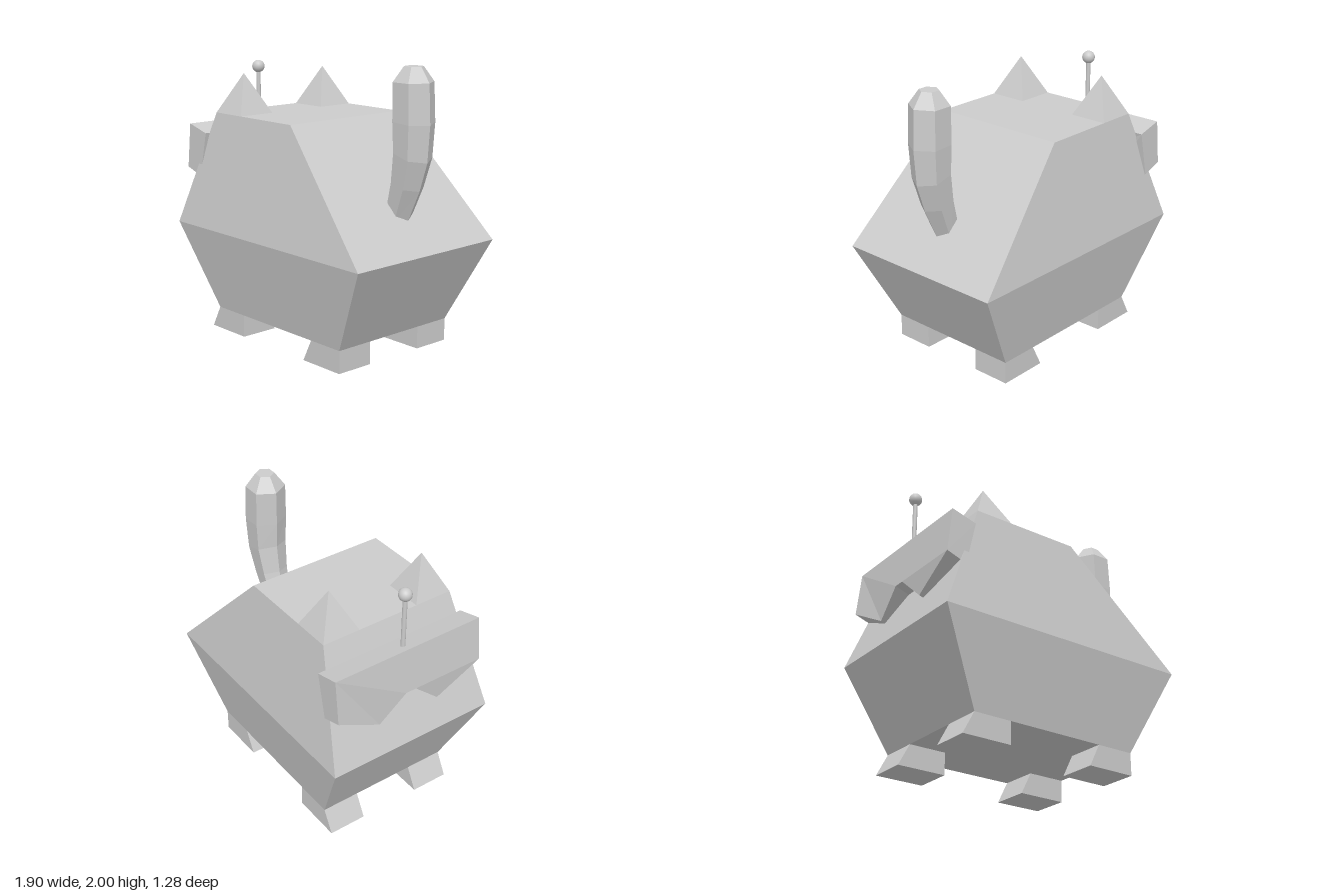
import * as THREE from 'three';

const material = new THREE.MeshStandardMaterial({ color: 0xcccccc, flatShading: true });
const smooth = new THREE.MeshStandardMaterial({ color: 0xcccccc });

function add(group, name, geometry, mat = material) {
  const mesh = new THREE.Mesh(geometry, mat);
  mesh.name = name;
  group.add(mesh);
  return mesh;
}

// Moves every vertex of a geometry by a rule.
function reshape(geometry, rule) {
  const pos = geometry.attributes.position;
  const v = new THREE.Vector3();
  for (let i = 0; i < pos.count; i++) {
    rule(v.fromBufferAttribute(pos, i));
    pos.setXYZ(i, v.x, v.y, v.z);
  }
  geometry.computeVertexNormals();
  return geometry;
}

// Six-sided block between two rectangles: { y, x: [min, max], z: [min, max] }.
function block(bottom, top) {
  return reshape(new THREE.BoxGeometry(1, 1, 1), (v) => {
    const r = v.y > 0 ? top : bottom;
    v.set(r.x[v.x > 0 ? 1 : 0], r.y, r.z[v.z > 0 ? 1 : 0]);
  });
}

export function createModel() {
  const model = new THREE.Group();
  model.name = 'facetedCat';

  // Body: two tapered blocks meeting at the widest line
  const base = { y: 0.16, x: [-0.65, 0.64], z: [-0.51, 0.51] };
  const waist = { y: 0.775, x: [-0.955, 0.95], z: [-0.64, 0.64] };
  const crown = { y: 1.6, x: [-0.645, 0.16], z: [-0.51, 0.51] };
  add(model, 'lowerBody', block(base, waist));
  add(model, 'upperBody', block(waist, crown));

  // Legs with forward-pointing toes, and pyramid ears
  for (const side of [-1, 1]) {
    const z = side > 0 ? [0.23, 0.51] : [-0.51, -0.23];
    add(model, 'frontLeg', block({ y: 0, x: [-0.735, -0.37], z }, { y: 0.16, x: [-0.65, -0.37], z }));
    add(model, 'backLeg', block({ y: 0, x: [0.28, 0.64], z }, { y: 0.16, x: [0.36, 0.64], z }));

    const earGeometry = new THREE.ConeGeometry(0.14 * Math.SQRT2, 0.28, 4);
    earGeometry.rotateY(Math.PI / 4);
    add(model, 'ear', earGeometry).position.set(-0.505, 1.74, side * 0.37);
  }

  // Tail: hexagonal rings along a bend, each [x, y, radius, tilt]
  const rings = [
    [0.787, 2.0, 0.067, 0],
    [0.787, 1.9, 0.14, 0],
    [0.795, 1.64, 0.145, -0.06],
    [0.79, 1.42, 0.135, -0.28],
    [0.745, 1.22, 0.115, -0.3],
    [0.66, 0.98, 0.09, -0.4],
  ];
  const steps = rings.length - 1;
  const tail = new THREE.CylinderGeometry(1, 1, 1, 6, steps, false, Math.PI / 6);
  add(model, 'tail', reshape(tail, (v) => {
    const [x, y, r, tilt] = rings[Math.round((0.5 - v.y) * steps)];
    v.set(x + v.x * r * Math.cos(tilt), y + v.x * r * Math.sin(tilt), v.z * r);
  }));

  // Goggles: an outline with a nose notch, leaning with the face
  const outline = [
    [-0.58, 1.5], [-0.58, 1.18], [-0.24, 1.0], [-0.04, 1.18],
    [0.04, 1.18], [0.24, 1.0], [0.58, 1.18], [0.58, 1.5],
  ].map(([z, y]) => new THREE.Vector2(z, y));
  const goggles = new THREE.ExtrudeGeometry(new THREE.Shape(outline), { depth: 1, bevelEnabled: false });
  goggles.rotateY(-Math.PI / 2);
  add(model, 'goggles', reshape(goggles, (v) => {
    const back = v.x + 1;
    const face = v.y > 1.4 ? -0.885 : v.y > 1.1 ? -0.92 : -0.905;
    const depth = v.y > 1.4 ? 0.185 : 0.15;
    v.set(face + depth * back, v.y - 0.05 * back, v.z - 0.01);
  }));

  // Antenna standing on the goggles
  add(model, 'antennaRod', new THREE.CylinderGeometry(0.016, 0.016, 0.42, 12), smooth)
    .position.set(-0.815, 1.66, -0.01);
  add(model, 'antennaBall', new THREE.SphereGeometry(0.046, 20, 14), smooth)
    .position.set(-0.815, 1.88, -0.01);

  return model;
}
